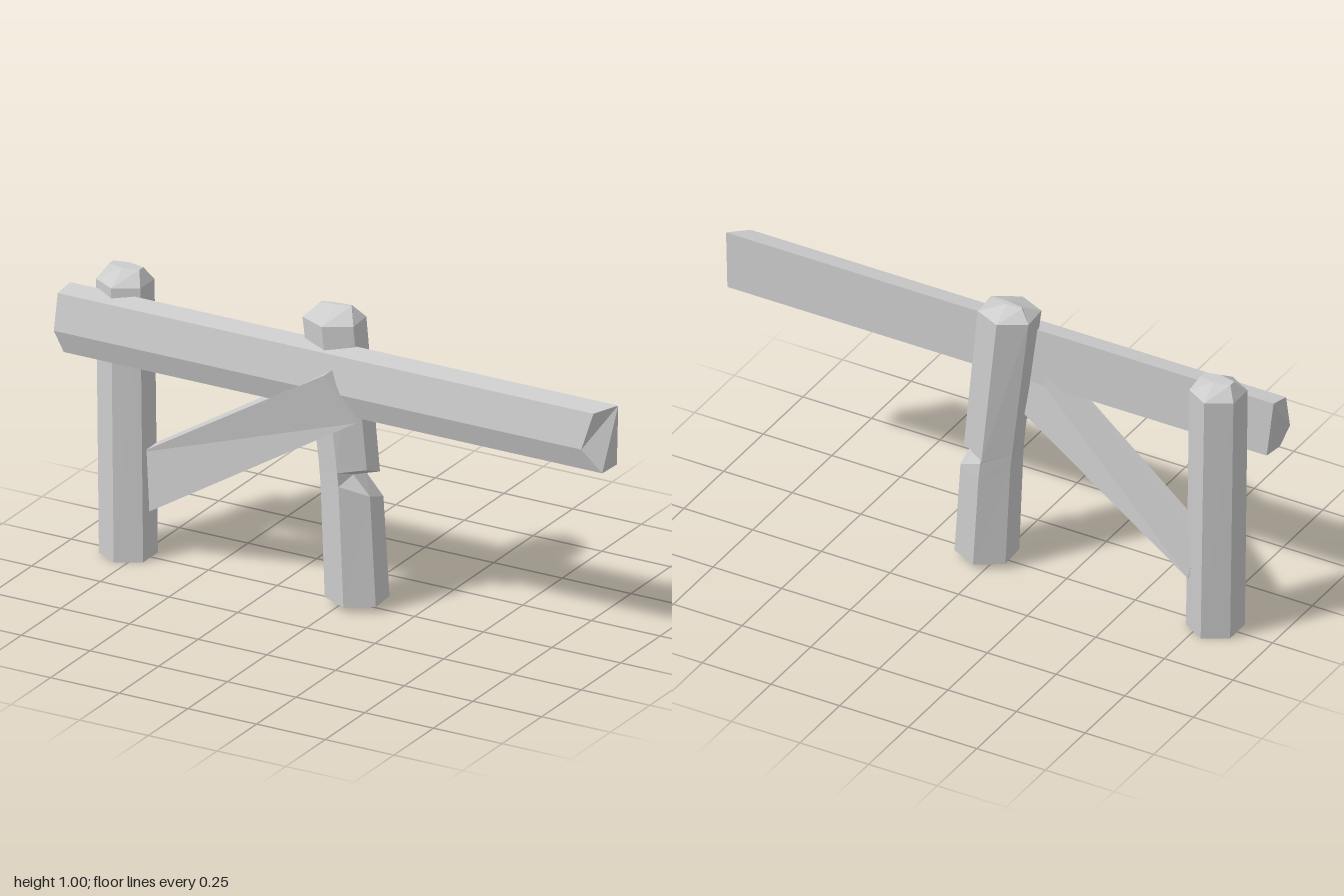
import * as THREE from 'three';

const material = new THREE.MeshStandardMaterial({ color: 0xcccccc, flatShading: true });

// Closed solid through rings of [x, y, z] points, with fan caps at both ends
function loft(name, rings) {
  const n = rings[0].length;
  const pts = rings.flat().map(p => new THREE.Vector3(...p));
  const tris = [];
  for (let r = 0; r < rings.length - 1; r++) {
    for (let i = 0; i < n; i++) {
      const a = r * n + i, b = r * n + (i + 1) % n;
      tris.push([a, b, b + n], [a, b + n, a + n]);
    }
  }
  const last = (rings.length - 1) * n;
  for (let i = 1; i < n - 1; i++) tris.push([0, i + 1, i], [last, last + i, last + i + 1]);

  // Signed volume decides whether the winding must be flipped
  const cross = new THREE.Vector3();
  const volume = tris.reduce((sum, [a, b, c]) => sum + pts[a].dot(cross.crossVectors(pts[b], pts[c])), 0);
  const ordered = volume < 0 ? tris.map(([a, b, c]) => [a, c, b]) : tris;

  const geometry = new THREE.BufferGeometry().setFromPoints(ordered.flat().map(i => pts[i]));
  geometry.computeVertexNormals();
  const mesh = new THREE.Mesh(geometry, material);
  mesh.name = name;
  return mesh;
}

// Hexagon with corners on the z axis; shape(px, pz) may return [dx, dy] per corner
function hex(cx, y, cz, rx, rz = rx, turn = 0, shape = () => [0, 0]) {
  return Array.from({ length: 6 }, (_, i) => {
    const a = i * Math.PI / 3 + turn;
    const s = Math.sin(a), c = Math.cos(a);
    const [dx, dy] = shape(s, c);
    return [cx + s * rx + dx, y + dy, cz + c * rz];
  });
}

export function createModel() {
  const group = new THREE.Group();

  // Plain side post with a ridged top
  group.add(loft('sidePost', [
    hex(-0.79, 0, 0.003, 0.093),
    hex(-0.826, 0.915, -0.04, 0.093, 0.09),
    hex(-0.825, 0.96, -0.045, 0.063, 0.025),
  ]));

  // Middle post, leaning, with a notch cut into its left side
  const t = 0.06;
  const notch = (s) => [s > 0.3 ? -0.055 : 0, 0];
  group.add(loft('middlePost', [
    hex(0.037, 0.02, -0.007, 0.104, 0.098, t),
    hex(0.014, 0.39, -0.014, 0.101, 0.096, t, (s, c) => [0, 0.035 * c - (s > 0.3 ? 0.015 : 0)]),
    hex(0.008, 0.44, -0.015, 0.1, 0.095, t, (s, c) => [notch(s)[0], 0.03 * c]),
    hex(0.004, 0.46, -0.015, 0.098, 0.094, t, (s, c) => [0, 0.04 * c]),
    hex(-0.055, 0.955, -0.023, 0.104, 0.093, t),
    hex(-0.055, 0.995, -0.038, 0.063, 0.008, t, s => [0, 0.005 * s]),
  ]));

  // Long rail with slanted ends: [y, z, left x, right x] per corner
  const rail = [
    [0.888, 0.015, -0.995, 1.0],
    [0.685, 0.015, -0.97, 0.995],
    [0.68, 0.09, -0.975, 0.985],
    [0.755, 0.11, -1.0, 0.92],
    [0.875, 0.085, -1.0, 0.95],
  ];
  group.add(loft('rail', [2, 3].map(end => rail.map(c => [c[end], c[0], c[1]]))));

  // Diagonal brace running from the side post up through the rail
  group.add(loft('brace', [
    [[-0.75, 0.35, 0.0], [-0.715, 0.155, 0.0], [-0.73, 0.19, -0.065], [-0.76, 0.345, -0.07]],
    [[-0.005, 0.82, 0.13], [0.1, 0.67, 0.105], [0.11, 0.68, 0.03], [0.02, 0.84, 0.04]],
  ]));

  return group;
}
